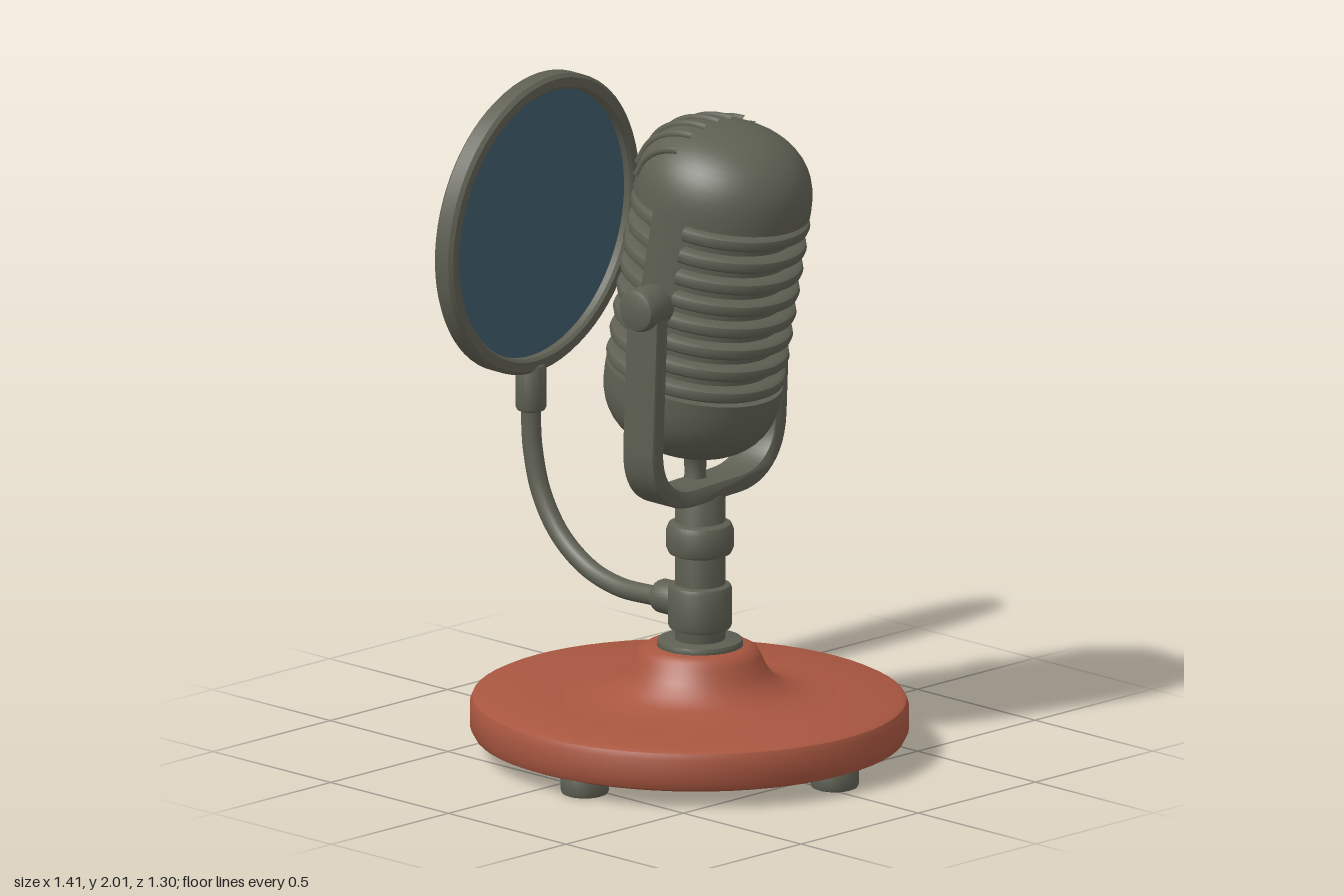
import * as THREE from 'three';
import { toCreasedNormals } from 'three/addons/utils/BufferGeometryUtils.js';

const metal = new THREE.MeshStandardMaterial({ name: 'grey metal', color: 0x5f6053 });
const red = new THREE.MeshStandardMaterial({ name: 'terracotta red', color: 0xa85640 });
const blue = new THREE.MeshStandardMaterial({ name: 'blue mesh fabric', color: 0x3f5c6c });

const YAW = 0.1; // slight turn shared by the yoke, head and feet

function add(parent, name, geometry, material, x = 0, y = 0, z = 0) {
  const mesh = new THREE.Mesh(geometry, material);
  mesh.name = name;
  mesh.position.set(x, y, z);
  parent.add(mesh);
  return mesh;
}

function group(parent, name, x = 0, y = 0, z = 0) {
  const g = new THREE.Group();
  g.name = name;
  g.position.set(x, y, z);
  parent.add(g);
  return g;
}

// Revolve [radius, height] pairs listed from bottom to top
function lathe(pairs, segments = 48, start = 0, length = Math.PI * 2) {
  const pts = pairs.map(([r, y]) => new THREE.Vector2(r, y));
  return toCreasedNormals(new THREE.LatheGeometry(pts, segments, start, length), 0.7);
}

// Round bar with softened edges
function collar(r, y0, y1, b = 0.015) {
  return lathe([[0, y0], [r - b, y0], [r - b * 0.3, y0 + b * 0.3], [r, y0 + b],
    [r, y1 - b], [r - b * 0.3, y1 - b * 0.3], [r - b, y1], [0, y1]], 32);
}

function buildBase(root) {
  const base = group(root, 'base');
  const disc = add(base, 'baseDisc', lathe([[0, 0.05], [0.635, 0.05], [0.66, 0.06], [0.673, 0.085],
    [0.673, 0.155], [0.665, 0.174], [0.645, 0.184], [0.4, 0.188], [0, 0.19]], 64), red, 0.028, 0, 0);
  disc.scale.z = 0.965;
  add(base, 'baseHump', lathe([[0.46, 0.183], [0.35, 0.194], [0.28, 0.212], [0.235, 0.24], [0.208, 0.275],
    [0.19, 0.315], [0.178, 0.335], [0.155, 0.348], [0, 0.35]], 64), red, 0.065);
  // Four rubber feet
  for (let i = 0; i < 4; i++) {
    const a = i * Math.PI / 2 - YAW;
    add(base, 'foot', collar(0.073, 0, 0.07, 0.012), metal,
      0.075 + 0.54 * Math.cos(a), 0, 0.02 + 0.53 * Math.sin(a));
  }
}

function buildPole(root) {
  const pole = group(root, 'pole', 0.073);
  add(pole, 'footCollar', collar(0.13, 0.34, 0.368, 0.008), metal);
  add(pole, 'shaft', collar(0.076, 0.35, 0.83), metal);
  add(pole, 'lowerCollar', collar(0.097, 0.4, 0.54), metal);
  add(pole, 'upperCollar', collar(0.102, 0.63, 0.735, 0.025), metal);
  add(pole, 'headStem', lathe([[0.045, 0.82], [0.032, 0.88], [0.035, 0.93], [0.07, 0.98]], 24), metal, -0.02);
}

function buildYoke(root) {
  const yoke = group(root, 'yoke', 0.085, 0.82, 0);
  yoke.rotation.set(0, YAW, -0.04);
  // U-shaped strap
  const o = 0.315, t = 0.042, top = 0.65, bend = 0.2, s = new THREE.Shape();
  s.moveTo(-o, top);
  s.lineTo(-o, bend);
  s.bezierCurveTo(-o, 0.07, -0.23, 0, -0.11, 0);
  s.lineTo(0.11, 0);
  s.bezierCurveTo(0.23, 0, o, 0.07, o, bend);
  s.lineTo(o, top);
  s.lineTo(o - t, top);
  s.lineTo(o - t, bend);
  s.bezierCurveTo(o - t, 0.1, 0.21, t, 0.11, t);
  s.lineTo(-0.11, t);
  s.bezierCurveTo(-0.21, t, t - o, 0.1, t - o, bend);
  s.lineTo(t - o, top);
  const strap = new THREE.ExtrudeGeometry(s, {
    depth: 0.1, bevelEnabled: true, bevelSize: 0.006, bevelThickness: 0.01, bevelSegments: 2, curveSegments: 12,
  });
  strap.translate(0, 0, -0.05).rotateY(Math.PI / 2);
  add(yoke, 'strap', toCreasedNormals(strap, 0.7), metal);
  // Pivot knobs
  for (const side of [1, -1]) {
    const knob = add(yoke, 'pivotKnob', collar(0.067, 0.24, 0.36, 0.018), metal, 0, top, 0);
    knob.rotation.x = side * Math.PI / 2;
  }
}

function buildHead(root) {
  const head = group(root, 'microphoneHead', 0.107, 1.467, 0);
  head.rotation.order = 'YXZ';
  head.rotation.set(0, YAW, -0.19);
  head.scale.x = 1.05;
  const R = 0.262, seam = 0.3, height = 0.225, p = 2.4;
  const capY = (r) => seam + height * Math.pow(Math.max(0, 1 - Math.pow(r / R, p)), 1 / p);

  // Smooth cap and bottom cup with rounded ends
  const dome = [];
  for (let i = 0; i <= 14; i++) {
    const r = R * Math.cos(i / 14 * Math.PI / 2);
    dome.push([i === 14 ? 0 : r, capY(r)]);
  }
  add(head, 'topCap', lathe([[0.2, 0.285], [R, 0.285], ...dome]), metal);
  const cup = dome.map(([r, y]) => [r, -y]).reverse();
  add(head, 'bottomCup', lathe([...cup, [R, -0.275], [0.2, -0.275]]), metal);
  add(head, 'grilleCore', lathe([[0.222, -0.3], [0.222, 0.3]]), metal);

  // Solid side bands and the ribs between them
  const half = 0.22;
  for (const turn of [0, Math.PI]) {
    add(head, 'sideBand', lathe([[0.215, -0.3], [R, -0.3], [R, 0.3], [0.215, 0.3]], 8, turn - half, half * 2), metal);
    for (let i = 0; i < 8; i++) {
      const y = -0.245 + i * 0.071;
      add(head, 'grilleRib', lathe([[0.21, y - 0.022], [0.25, y - 0.022], [0.262, y - 0.014], [0.266, y],
        [0.262, y + 0.014], [0.25, y + 0.022], [0.21, y + 0.022]], 28, turn + half, Math.PI - half * 2), metal);
    }
  }

  // Louvre bars over the rear of the cap
  for (let i = -3; i <= 3; i++) {
    const z = i * 0.062, reach = Math.sqrt(R * R - z * z) * 0.985, pts = [];
    for (let k = 0; k <= 8; k++) {
      const x = -0.05 - (reach - 0.05) * k / 8;
      pts.push(new THREE.Vector3(x, capY(Math.hypot(x, z)), z));
    }
    add(head, 'capLouvre', new THREE.TubeGeometry(new THREE.CatmullRomCurve3(pts), 20, 0.013, 8), metal);
  }

  // Blank round boss on the rear
  const boss = add(head, 'rearBoss', new THREE.SphereGeometry(0.085, 24, 16), metal, -0.262, 0.09, 0);
  boss.scale.x = 0.35;
}

function buildFilter(root) {
  // Curved arm with a socket at each end
  const arm = group(root, 'filterArm');
  const path = new THREE.CatmullRomCurve3([[0, 0.47], [-0.14, 0.462], [-0.27, 0.462], [-0.4, 0.495], [-0.52, 0.575],
    [-0.6, 0.69], [-0.637, 0.82], [-0.645, 0.92], [-0.645, 1.0]].map(([x, y]) => new THREE.Vector3(x, y, 0)));
  add(arm, 'goosenek'.replace('nek', 'neck'), new THREE.TubeGeometry(path, 48, 0.03, 16), metal);
  const socket = add(arm, 'poleSocket', collar(0.052, 0, 0.11), metal, 0.01, 0.47, 0);
  socket.rotation.z = Math.PI / 2;
  add(arm, 'filterSocket', collar(0.047, 0.94, 1.09), metal, -0.645);

  // Round hoop holding a thin fabric screen
  const filter = group(root, 'popFilter', -0.618, 1.532, 0);
  filter.rotation.order = 'YXZ';
  filter.rotation.set(0, 0.12, -0.055);
  const hoop = lathe([[0.418, -0.026], [0.426, -0.035], [0.455, -0.035], [0.466, -0.024], [0.466, 0.024],
    [0.455, 0.035], [0.426, 0.035], [0.418, 0.026], [0.418, -0.026]], 72);
  add(filter, 'hoop', hoop.rotateZ(Math.PI / 2), metal);
  add(filter, 'fabricScreen', new THREE.CylinderGeometry(0.425, 0.425, 0.008, 64).rotateZ(Math.PI / 2), blue);
}

export function createModel() {
  const root = new THREE.Group();
  root.name = 'deskMicrophone';
  buildBase(root);
  buildPole(root);
  buildYoke(root);
  buildHead(root);
  buildFilter(root);
  return root;
}
